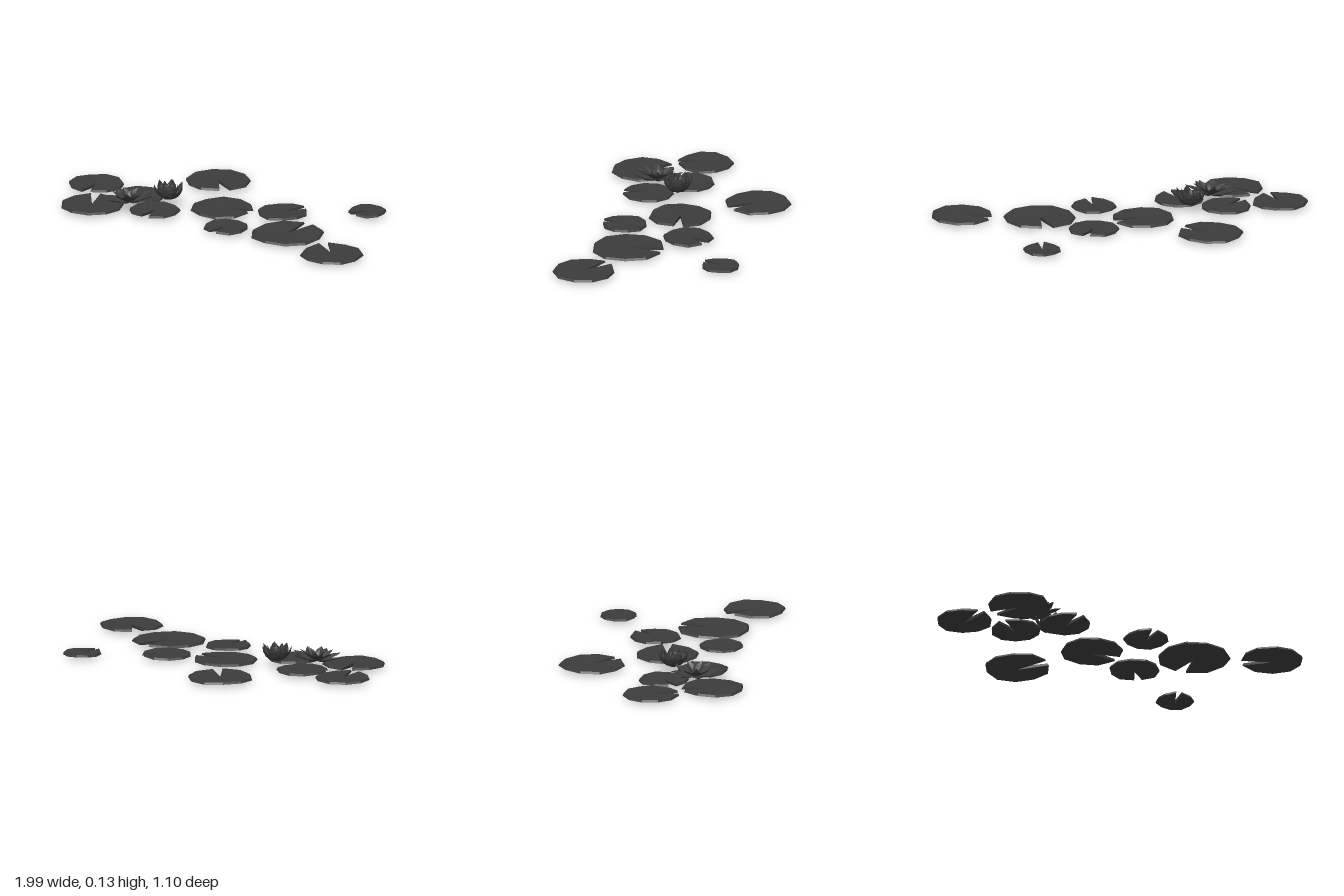
import * as THREE from 'three';

const padMaterial = new THREE.MeshStandardMaterial({ color: 0x3c3c3c, flatShading: true });
const petalMaterial = new THREE.MeshStandardMaterial({
  color: 0x3c3c3c, flatShading: true, side: THREE.DoubleSide,
});

function buildGeometry(points, index) {
  const indexed = new THREE.BufferGeometry();
  indexed.setAttribute('position', new THREE.Float32BufferAttribute(points.flat(), 3));
  indexed.setIndex(index);
  const geometry = indexed.toNonIndexed();
  geometry.computeVertexNormals();
  return geometry;
}

// Ten-sided leaf with a narrow notch, bevelled rim and shallow bowl underneath
function padGeometry(radius, notchAngle, seed) {
  const sides = 10, half = 0.16;
  const points = [[0, 0.023, 0], [0, 0.004, 0]]; // top and bottom centre
  const index = [];
  for (let i = 0; i <= sides; i++) {
    const a = notchAngle + half + (i / sides) * (2 * Math.PI - 2 * half);
    const r = radius * (1.015 + 0.025 * Math.sin(i * 2.3 + seed));
    const wave = 0.002 * Math.sin(i * 1.7 + seed * 2);
    const lip = i === 0 || i === sides ? 0.004 : 0;
    const c = Math.cos(a), s = Math.sin(a);
    points.push([c * r * 0.965, 0.026 + wave + lip, s * r * 0.965]);
    points.push([c * r, 0.014 + wave + lip, s * r]);
  }
  for (let i = 0; i < sides; i++) {
    const t = 2 + i * 2, b = t + 1, t2 = t + 2, b2 = t + 3;
    index.push(0, t2, t, 1, b, b2, t, t2, b2, t, b2, b);
  }
  // Walls of the notch
  const e = 2 + sides * 2;
  index.push(0, 2, 3, 0, 3, 1, 0, e + 1, e, 0, 1, e + 1);
  return buildGeometry(points, index);
}

// Pointed, cupped petal whose centre line bends from angle start to angle end
function petalGeometry(length, width, start, end) {
  const widths = [0.3, 0.8, 1, 0.72, 0];
  const segments = widths.length - 1;
  const points = [], index = [];
  let r = 0.006, y = 0;
  widths.forEach((w, i) => {
    const a = start + (end - start) * (i / segments);
    const half = (w * width) / 2, cup = half * 0.35;
    const edgeR = r - Math.sin(a) * cup, edgeY = y + Math.cos(a) * cup;
    points.push([edgeR, edgeY, -half], [r, y, 0], [edgeR, edgeY, half]);
    const mid = a + (end - start) / (2 * segments);
    r += (Math.cos(mid) * length) / segments;
    y += (Math.sin(mid) * length) / segments;
  });
  for (let i = 0; i < segments; i++) {
    for (let j = 0; j < 2; j++) {
      const a = i * 3 + j, b = a + 1, c = a + 3, d = a + 4;
      if (i === segments - 1) index.push(a, b, d);
      else index.push(a, b, d, a, d, c);
    }
  }
  return buildGeometry(points, index);
}

function createFlower(name, rings) {
  const flower = new THREE.Group();
  flower.name = name;
  rings.forEach(({ count, length, width, start, end, turn }) => {
    const geometry = petalGeometry(length, width, start, end);
    for (let i = 0; i < count; i++) {
      const petal = new THREE.Mesh(geometry, petalMaterial);
      petal.name = 'petal';
      petal.rotation.y = turn + (i / count) * Math.PI * 2;
      flower.add(petal);
    }
  });
  return flower;
}

export function createModel() {
  const model = new THREE.Group();
  model.name = 'waterLilies';

  // x, z, radius, notch direction (x, z), height offset
  const pads = [
    [-0.31, -0.38, 0.174, 20, 23, 0],
    [0.64, -0.335, 0.101, -5, 17, 0],
    [-0.85, -0.005, 0.148, 4, 27, 0],
    [-0.553, 0.033, 0.134, -20, 10, -0.003],
    [-0.066, 0.002, 0.168, 30, -3, -0.004],
    [0.254, -0.095, 0.134, 14, -18, 0],
    [0.453, 0.2, 0.194, 5, -36, -0.002],
    [0.115, 0.275, 0.12, -2, 21, 0],
    [0.834, 0.378, 0.166, -20, -19, 0],
    [-0.695, 0.312, 0.166, -12, -28, 0],
    [-0.355, 0.225, 0.134, 3, 24, 0.002],
  ];
  pads.forEach(([x, z, radius, dx, dz, y], i) => {
    const pad = new THREE.Mesh(padGeometry(radius, Math.atan2(dz, dx), i), padMaterial);
    pad.name = 'lilyPad';
    pad.position.set(x, y, z);
    model.add(pad);
  });

  // Wide open blossom
  const blossom = createFlower('openFlower', [
    { count: 8, length: 0.14, width: 0.062, start: 0.05, end: 0.5, turn: 0.25 },
    { count: 7, length: 0.105, width: 0.05, start: 0.4, end: 0.75, turn: 0.6 },
    { count: 4, length: 0.065, width: 0.035, start: 0.8, end: 1.3, turn: 0.2 },
  ]);
  blossom.position.set(-0.525, 0.033, 0.205);
  blossom.rotation.z = 0.08;
  model.add(blossom);

  // Half-closed blossom
  const cup = createFlower('closedFlower', [
    { count: 7, length: 0.13, width: 0.065, start: 0.1, end: 1.65, turn: 0.1 },
    { count: 6, length: 0.108, width: 0.05, start: 0.5, end: 1.75, turn: 0.5 },
    { count: 4, length: 0.085, width: 0.035, start: 0.9, end: 1.8, turn: 0.2 },
  ]);
  cup.position.set(-0.36, 0.034, 0.065);
  model.add(cup);

  return model;
}
